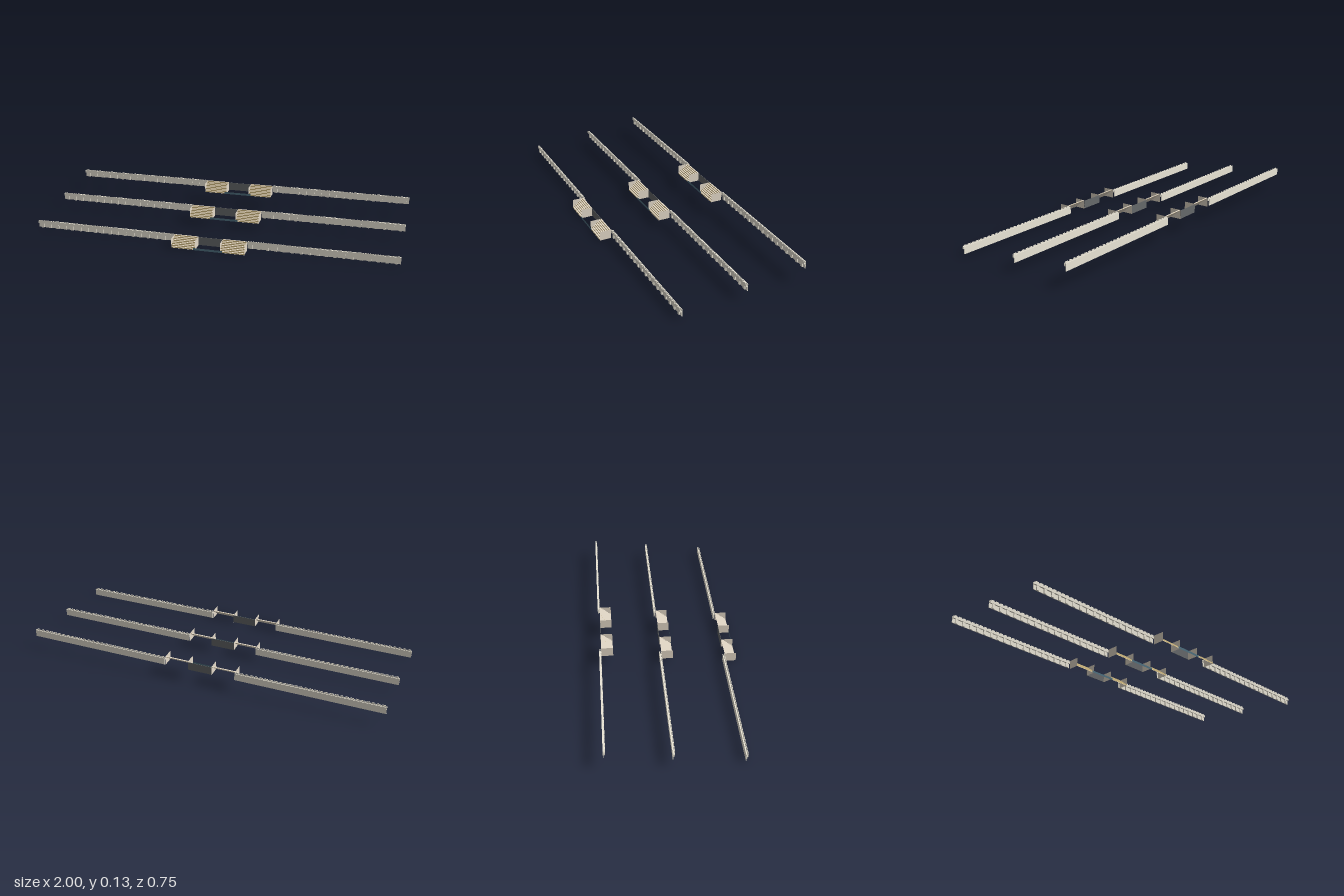
import * as THREE from 'three';
import { mergeGeometries } from 'three/addons/utils/BufferGeometryUtils.js';

const paint = (color) => new THREE.MeshStandardMaterial({ color, side: THREE.DoubleSide });
const stone = paint(0xece7d8);
const paleStone = paint(0xe5dac9);
const gold = paint(0xdac184);
const slate = paint(0x66696b);
const teal = paint(0x4f7080);

// Box given by its limits
function box(x0, x1, y0, y1, z0, z1) {
  return new THREE.BoxGeometry(x1 - x0, y1 - y0, z1 - z0)
    .translate((x0 + x1) / 2, (y0 + y1) / 2, (z0 + z1) / 2);
}

// Flat strip across x, from a front edge to a back edge
function strip(x0, x1, yFront, zFront, yBack, zBack) {
  const dy = yBack - yFront, dz = zFront - zBack;
  return new THREE.PlaneGeometry(x1 - x0, Math.hypot(dy, dz))
    .rotateX(-Math.atan2(dz, dy))
    .translate((x0 + x1) / 2, (yFront + yBack) / 2, (zFront + zBack) / 2);
}

function add(group, name, geometry, material) {
  const mesh = new THREE.Mesh(geometry, material);
  mesh.name = name;
  group.add(mesh);
}

// Long terrace wall: slab, ledge, parapet, toothed top and buttresses
function terraceWall(side) {
  const g = new THREE.Group();
  g.name = side > 0 ? 'leftWall' : 'rightWall';
  const span = (a, b) => side > 0 ? [a, b] : [-b, -a];
  const [x0, x1] = span(0.2, 1);
  add(g, 'wallSlab', box(x0, x1, 0.01, 0.049, 0.2995, 0.303), stone);
  add(g, 'ledge', box(x0, x1, 0.035, 0.038, 0.303, 0.308), stone);
  add(g, 'parapet', box(x0, x1, 0.035, 0.049, 0.308, 0.311), stone);

  const teeth = [];
  for (let i = 0; i < 30; i++) {
    const a = 0.204 + i * 0.0266;
    teeth.push(box(...span(a, a + 0.017), 0.049, 0.054, 0.308, 0.311));
  }
  add(g, 'parapetTeeth', mergeGeometries(teeth), stone);

  const buttresses = [];
  for (let i = 0; i < 18; i++) {
    const a = 0.212 + i * 0.0445;
    buttresses.push(box(...span(a, a + 0.015), 0.01, 0.035, 0.303, 0.309));
  }
  add(g, 'buttresses', mergeGeometries(buttresses), stone);
  return g;
}

// Stair flight rising to the back between two thin cheek walls
function stairs(side) {
  const g = new THREE.Group();
  g.name = side > 0 ? 'leftStairs' : 'rightStairs';
  const [x0, x1] = side > 0 ? [0.068, 0.2] : [-0.2, -0.068];
  const count = 8, front = 0.375, back = 0.311, bottom = 0.002, top = 0.053;
  const run = (front - back) / count, rise = (top - bottom) / count;
  const risers = [], treads = [];
  for (let i = 0; i < count; i++) {
    const y = bottom + i * rise, z = front - i * run;
    risers.push(strip(x0, x1, y, z, y + rise, z));
    treads.push(strip(x0, x1, y + rise, z, y + rise, z - run));
  }
  add(g, 'risers', mergeGeometries(risers), gold);
  add(g, 'treads', mergeGeometries(treads), paleStone);
  add(g, 'soffit', strip(x0, x1, bottom - 0.001, front, top - 0.001, back), paleStone);

  for (const x of [x0, x1]) {
    const cheek = new THREE.PlaneGeometry(front - back, top - bottom)
      .rotateY(x === x1 ? Math.PI / 2 : -Math.PI / 2)
      .translate(x, (bottom + top) / 2, (front + back) / 2);
    add(g, 'cheekWall', cheek, paleStone);
  }
  return g;
}

// One terrace: walls, two stair flights, central panel and front sill
function terrace() {
  const g = new THREE.Group();
  for (const side of [-1, 1]) g.add(terraceWall(side), stairs(side));
  add(g, 'centrePanel', box(-0.068, 0.068, 0.004, 0.05, 0.3095, 0.3115), slate);
  add(g, 'frontSill', strip(-0.08, 0.08, 0, 0.3755, 0.012, 0.3755), teal);
  return g;
}

export function createModel() {
  const model = new THREE.Group();
  model.name = 'terraces';
  // Each terrace stands further back and higher
  const rows = [['frontTerrace', 0, 0], ['middleTerrace', 0.038, -0.349], ['backTerrace', 0.075, -0.674]];
  for (const [name, y, z] of rows) {
    const row = terrace();
    row.name = name;
    row.position.set(0, y, z);
    model.add(row);
  }
  return model;
}
